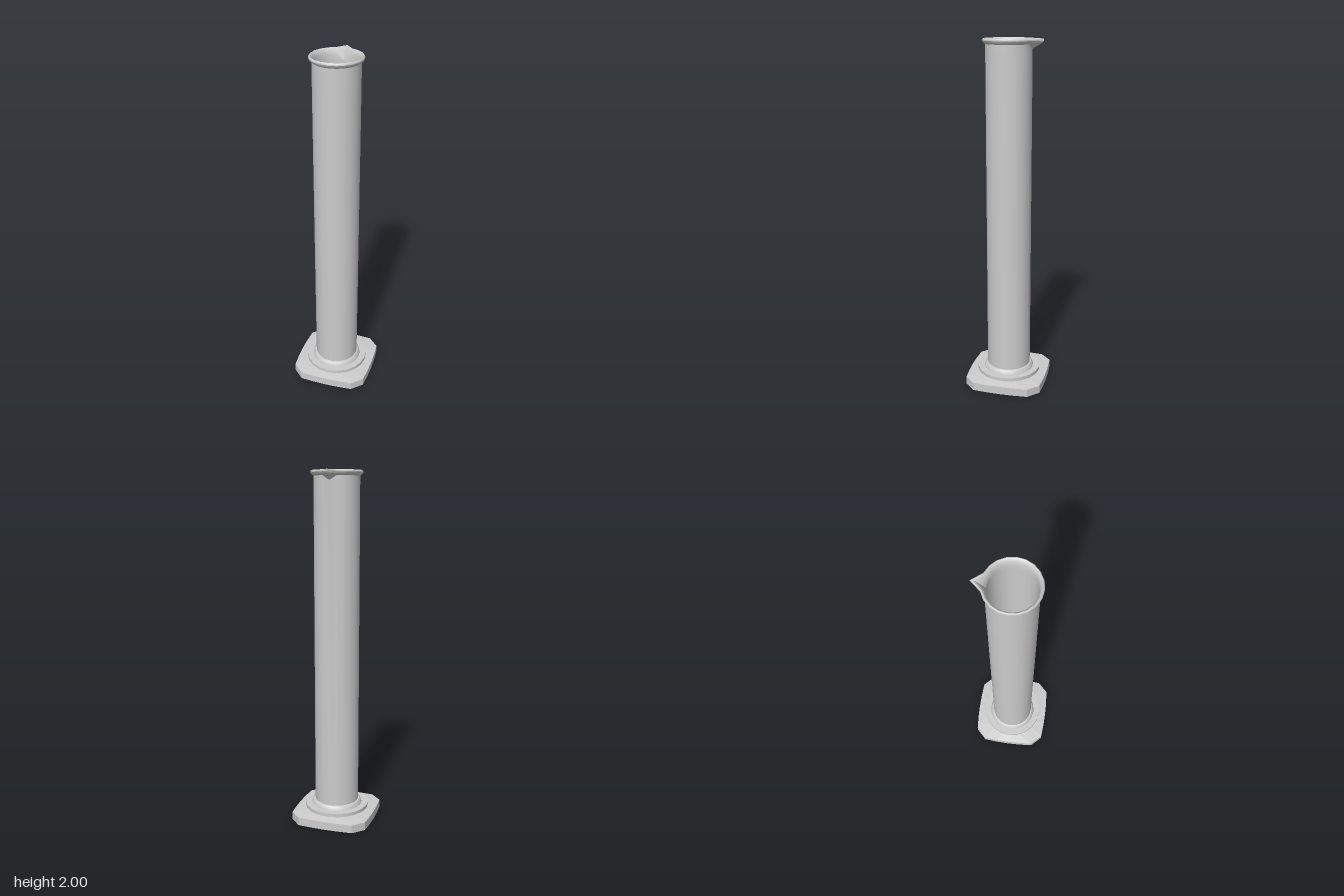
import * as THREE from 'three';
import { toCreasedNormals } from 'three/addons/utils/BufferGeometryUtils.js';

const SIDES = 20;

// Skins a stack of rings; each ring is a function of the side index giving [radius, y].
// Rings run from the outside bottom upward and then inward.
function loft(rings, crease) {
  const positions = [];
  const index = [];
  for (const ring of rings) {
    for (let k = 0; k < SIDES; k++) {
      const a = (k / SIDES) * Math.PI * 2;
      const [r, y] = ring(k);
      positions.push(r * Math.sin(a), y, -r * Math.cos(a));
    }
  }
  for (let i = 0; i < rings.length - 1; i++) {
    for (let k = 0; k < SIDES; k++) {
      const n = (k + 1) % SIDES;
      const a = i * SIDES + k, b = i * SIDES + n;
      const c = b + SIDES, d = a + SIDES;
      if (rings[i](0)[0] > 0) index.push(a, c, b);
      if (rings[i + 1](0)[0] > 0) index.push(a, d, c);
    }
  }
  const geometry = new THREE.BufferGeometry();
  geometry.setAttribute('position', new THREE.Float32BufferAttribute(positions, 3));
  geometry.setIndex(index);
  return toCreasedNormals(geometry, crease);
}

const round = (r, y) => () => [r, y];
// A round ring whose rearmost point is pulled out to form the pouring spout
const spouted = (r, y, spoutR, spoutY) => (k) => (k === 0 ? [spoutR, spoutY] : [r, y]);
// A square outline with bowed sides and cut corners
const footRadius = [0.23, 0.24, 0.274, 0.274, 0.24];
const foot = (y) => (k) => [footRadius[k % 5], y];

export function createModel() {
  const group = new THREE.Group();
  const grey = new THREE.MeshStandardMaterial({ color: 0xcccccc });
  grey.name = 'pale grey';

  const add = (name, geometry) => {
    const mesh = new THREE.Mesh(geometry, grey);
    mesh.name = name;
    group.add(mesh);
  };

  // Foot with a slightly hollow underside and a faceted, sloping top
  add('foot', loft([
    round(0, 0.006), foot(0), foot(0.047), round(0.172, 0.058), round(0.172, 0.064),
  ], 0.02));

  // Round collar with a flared fillet up to the tube
  add('collar', loft([
    round(0.172, 0.06), round(0.185, 0.06), round(0.185, 0.08), round(0.147, 0.08),
    round(0.143, 0.095), round(0.135, 0.104), round(0.126, 0.106),
  ], 0.6));

  // Hollow tube with rolled rim, spout and inner floor
  add('tube', loft([
    round(0.127, 0.08), round(0.127, 1.94),
    spouted(0.127, 1.97, 0.128, 1.945),
    spouted(0.14, 1.98, 0.18, 1.978),
    spouted(0.144, 1.988, 0.19, 1.99),
    spouted(0.142, 1.996, 0.188, 1.998),
    spouted(0.137, 2.0, 0.178, 2.0),
    spouted(0.132, 1.997, 0.166, 1.995),
    spouted(0.125, 1.985, 0.145, 1.972),
    spouted(0.12, 1.965, 0.12, 1.94),
    round(0.12, 1.93), round(0.12, 0.1), round(0, 0.1),
  ], 0.75));

  return group;
}
